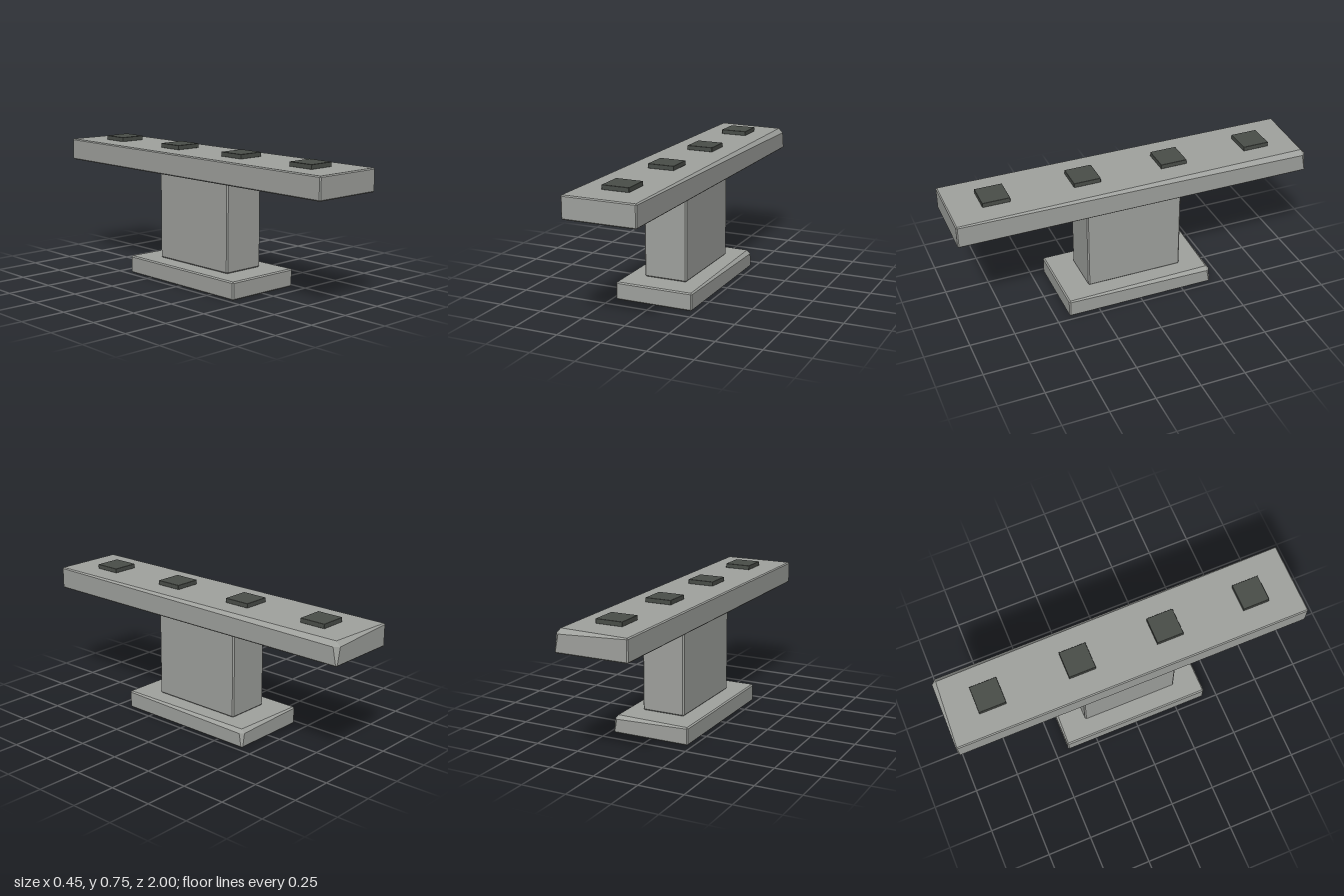
import * as THREE from 'three';
import { ConvexGeometry } from 'three/addons/geometries/ConvexGeometry.js';

// Box with chamfered edges; "nick" is the larger cut at the top, +x, -z corner.
function chamferedBox(w, h, d, chamfer, nick = chamfer) {
  const points = [];
  for (const sx of [-1, 1]) for (const sy of [-1, 1]) for (const sz of [-1, 1]) {
    const c = sx > 0 && sy > 0 && sz < 0 ? nick : chamfer;
    const x = w / 2, y = h / 2, z = d / 2;
    points.push(
      new THREE.Vector3(sx * x, sy * (y - c), sz * (z - c)),
      new THREE.Vector3(sx * (x - c), sy * y, sz * (z - c)),
      new THREE.Vector3(sx * (x - c), sy * (y - c), sz * z)
    );
  }
  return new ConvexGeometry(points);
}

export function createModel() {
  const model = new THREE.Group();
  model.name = 'pedestalBench';

  const stone = new THREE.MeshStandardMaterial({ color: 0xa0a29e });
  stone.name = 'greyStone';
  const dark = new THREE.MeshStandardMaterial({ color: 0x4a4e49 });
  dark.name = 'darkPad';

  function add(name, geometry, material, y, z = 0) {
    const mesh = new THREE.Mesh(geometry, material);
    mesh.name = name;
    mesh.position.set(0, y, z);
    model.add(mesh);
  }

  // Foot slab, upright block and long top slab
  add('base', chamferedBox(0.45, 0.1, 0.85, 0.007, 0.02), stone, 0.052);
  add('column', chamferedBox(0.25, 0.5, 0.55, 0.007), stone, 0.352);
  add('topSlab', chamferedBox(0.41, 0.124, 2, 0.006, 0.025), stone, 0.664);

  // Row of square pads along the top
  const pad = chamferedBox(0.15, 0.025, 0.15, 0.001);
  [-0.75, -0.25, 0.25, 0.75].forEach((z, i) => add(`pad${i + 1}`, pad, dark, 0.738, z));

  return model;
}
